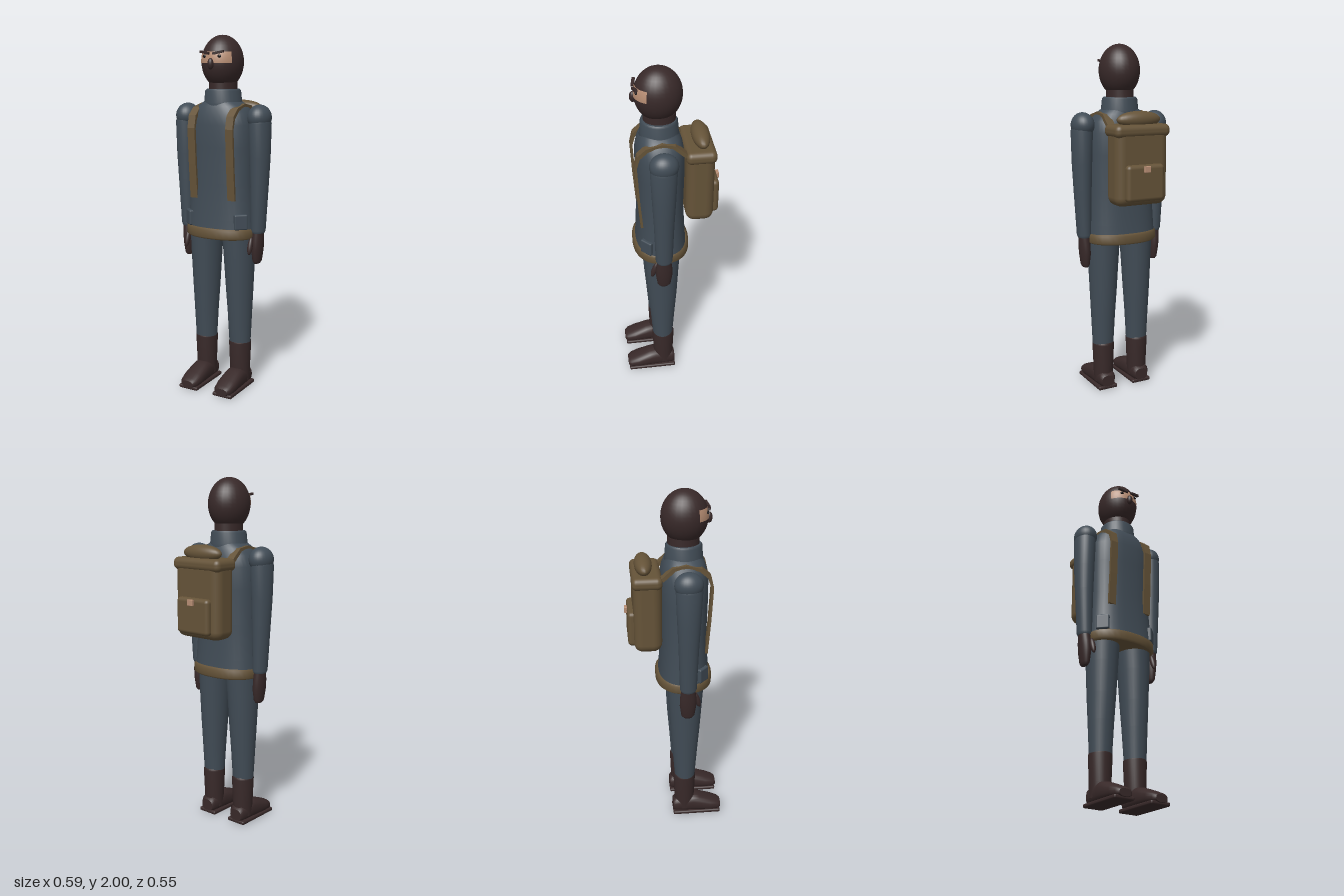
import * as THREE from 'three';
import { RoundedBoxGeometry } from 'three/addons/geometries/RoundedBoxGeometry.js';

const mat = (name, color) => {
  const m = new THREE.MeshStandardMaterial({ color });
  m.name = name;
  return m;
};

// Closed skin through rings [y, rx, rz, cx, cz]; power 2 is an ellipse, higher is squarer.
function loft(rings, power = 2, seg = 28) {
  const pos = [], idx = [];
  const ring = ([y, rx, rz, cx = 0, cz = 0]) => {
    for (let i = 0; i < seg; i++) {
      const a = (i / seg) * Math.PI * 2, c = Math.cos(a), s = Math.sin(a), e = 2 / power;
      pos.push(cx + Math.sign(c) * Math.abs(c) ** e * rx, y, cz + Math.sign(s) * Math.abs(s) ** e * rz);
    }
  };
  rings.forEach(ring);
  for (let r = 0; r < rings.length - 1; r++) {
    for (let i = 0; i < seg; i++) {
      const j = (i + 1) % seg, a = r * seg, b = a + seg;
      idx.push(a + i, b + i, b + j, a + i, b + j, a + j);
    }
  }
  // Caps with their own vertices keep the rim sharp
  [rings[0], rings[rings.length - 1]].forEach((r, k) => {
    const base = pos.length / 3;
    ring(r);
    pos.push(r[3] || 0, r[0], r[4] || 0);
    for (let i = 0; i < seg; i++) {
      const j = (i + 1) % seg;
      if (k) idx.push(base + seg, base + j, base + i);
      else idx.push(base + seg, base + i, base + j);
    }
  });
  const g = new THREE.BufferGeometry();
  g.setAttribute('position', new THREE.Float32BufferAttribute(pos, 3));
  g.setIndex(idx);
  g.computeVertexNormals();
  return g;
}

export function createModel() {
  const model = new THREE.Group();
  model.name = 'hiker';
  const cloth = mat('slate cloth', 0x414c56);
  const dark = mat('dark brown knit and leather', 0x382929);
  const canvas = mat('olive brown canvas', 0x655338);
  const skin = mat('skin', 0xb88e74);
  const black = mat('eye black', 0x181416);

  const add = (name, geo, material, x = 0, y = 0, z = 0) => {
    const m = new THREE.Mesh(geo, material);
    m.name = name;
    m.position.set(x, y, z);
    model.add(m);
    return m;
  };
  const ball = (name, material, x, y, z, rx, ry, rz) => {
    const m = add(name, new THREE.SphereGeometry(1, 28, 20), material, x, y, z);
    m.scale.set(rx, ry, rz);
    return m;
  };
  const box = (name, material, w, h, d, r, x, y, z) =>
    add(name, new RoundedBoxGeometry(w, h, d, 3, r), material, x, y, z);

  // Head with hood, eye slit and nose
  ball('head', dark, 0, 1.855, 0.053, 0.113, 0.145, 0.127);
  const slit = add('eyeSlit', new THREE.SphereGeometry(1.015, 24, 6, Math.PI / 2 - 1, 2, 1.19, 0.42), skin, 0, 1.855, 0.053);
  slit.scale.set(0.113, 0.145, 0.127);
  ball('nose', dark, 0, 1.845, 0.183, 0.017, 0.03, 0.018);
  add('neck', loft([[1.6, 0.077, 0.087, 0, 0.048], [1.75, 0.076, 0.086, 0, 0.048]]), dark);

  // Jacket body, turned-up collar and hem
  const body = [[0.92, 0.205, 0.145], [1.0, 0.2, 0.138], [1.2, 0.187, 0.127], [1.4, 0.19, 0.132],
    [1.52, 0.188, 0.132], [1.58, 0.17, 0.122], [1.62, 0.138, 0.108], [1.65, 0.09, 0.09]];
  add('jacket', loft(body.map(r => [...r, 0, 0.05]), 2.4, 36), cloth);
  const collar = [[1.59, 0.1, 0.1], [1.615, 0.113, 0.108], [1.64, 0.106, 0.104], [1.7, 0.099, 0.1], [1.71, 0.09, 0.092]];
  add('collar', loft(collar.map(r => [...r, 0, 0.05])), cloth);
  const hem = [[0.89, 0.2, 0.15], [0.9, 0.213, 0.16], [0.94, 0.213, 0.16], [0.95, 0.2, 0.148]];
  add('hem', loft(hem.map(r => [...r, 0, 0.05]), 2.3, 36), canvas);

  // Strap side profile as [z, y], given a thickness toward the body
  const strapPath = [[0.172, 1.11], [0.187, 1.3], [0.198, 1.5], [0.182, 1.57], [0.135, 1.612],
    [0.05, 1.632], [-0.02, 1.62], [-0.085, 1.56]];
  const inner = strapPath.map(([z, y]) => [z - Math.sign(z - 0.05) * 0.014, y > 1.55 ? y - 0.016 : y]);
  const strapShape = new THREE.Shape([...strapPath, ...inner.reverse()].map(p => new THREE.Vector2(...p)));
  const strapGeo = new THREE.ExtrudeGeometry(strapShape, { depth: 0.045, bevelEnabled: false });
  strapGeo.translate(0, 0, -0.0225).rotateY(-Math.PI / 2);

  for (const s of [1, -1]) {
    const side = s > 0 ? 'left' : 'right';
    // Eyes and brows
    ball(side + 'Eye', black, s * 0.045, 1.885, 0.169, 0.012, 0.009, 0.006);
    const brow = add(side + 'Brow', new THREE.BoxGeometry(0.062, 0.012, 0.016), dark, s * 0.042, 1.904, 0.176);
    brow.rotation.set(0, s * 0.2, s * 0.2);

    // Arm
    ball(side + 'Shoulder', cloth, s * 0.229, 1.56, 0.053, 0.064, 0.07, 0.077);
    add(side + 'Sleeve', loft([[0.925, 0.034, 0.04, s * 0.227, 0.055], [0.94, 0.04, 0.047, s * 0.227, 0.055],
      [1.2, 0.05, 0.056, s * 0.233, 0.055], [1.35, 0.056, 0.064, s * 0.235, 0.055],
      [1.53, 0.06, 0.072, s * 0.234, 0.055], [1.57, 0.045, 0.055, s * 0.23, 0.055]]), cloth);

    // Glove and thumb
    add(side + 'Glove', loft([[0.75, 0.014, 0.025, s * 0.222, 0.055], [0.765, 0.023, 0.037, s * 0.222, 0.055],
      [0.83, 0.031, 0.047, s * 0.223, 0.055], [0.88, 0.031, 0.046, s * 0.226, 0.055],
      [0.94, 0.032, 0.038, s * 0.227, 0.055]]), dark);
    const thumb = ball(side + 'Thumb', dark, s * 0.205, 0.855, 0.108, 0.015, 0.05, 0.016);
    thumb.rotation.x = -0.3;

    // Trouser leg
    add(side + 'Leg', loft([[0.27, 0.062, 0.06, s * 0.112, 0.052], [0.45, 0.07, 0.073, s * 0.111, 0.052],
      [0.6, 0.078, 0.085, s * 0.109, 0.052], [0.78, 0.087, 0.096, s * 0.107, 0.053],
      [0.93, 0.094, 0.106, s * 0.104, 0.053]]), cloth);

    // Boot: shaft, foot lofted heel to toe, sole
    add(side + 'BootShaft', loft([[0.04, 0.055, 0.058, s * 0.112, 0.05], [0.12, 0.058, 0.06, s * 0.112, 0.05],
      [0.27, 0.064, 0.066, s * 0.112, 0.05], [0.282, 0.058, 0.06, s * 0.112, 0.05]]), dark);
    const foot = loft([[-0.018, 0.04, 0.035, 0, -0.05], [0, 0.052, 0.048, 0, -0.058], [0.1, 0.057, 0.058, 0, -0.064],
      [0.14, 0.059, 0.053, 0, -0.06], [0.21, 0.06, 0.039, 0, -0.047], [0.255, 0.052, 0.029, 0, -0.038],
      [0.273, 0.036, 0.02, 0, -0.034]], 2.5, 24);
    foot.rotateX(Math.PI / 2);
    add(side + 'Foot', foot, dark, s * 0.112, 0, 0);
    box(side + 'Sole', dark, 0.122, 0.022, 0.287, 0.009, s * 0.112, 0.011, 0.124);

    // Jacket side pocket and pack strap
    const pocket = box(side + 'Pocket', cloth, 0.075, 0.085, 0.03, 0.008, s * 0.163, 0.992, 0.142);
    pocket.rotation.y = s * 0.75;
    add(side + 'Strap', strapGeo, canvas, s * 0.119, 0, 0);
  }

  // Backpack with lid, pocket, buckle and bedroll
  box('pack', canvas, 0.318, 0.43, 0.155, 0.05, 0, 1.345, -0.155);
  box('packLid', canvas, 0.334, 0.07, 0.164, 0.03, 0, 1.538, -0.157);
  box('packPocket', canvas, 0.23, 0.2, 0.06, 0.022, 0, 1.26, -0.234);
  box('packBuckle', skin, 0.038, 0.034, 0.016, 0.003, 0, 1.337, -0.27);
  ball('bedroll', canvas, 0, 1.597, -0.17, 0.132, 0.046, 0.048);

  return model;
}
